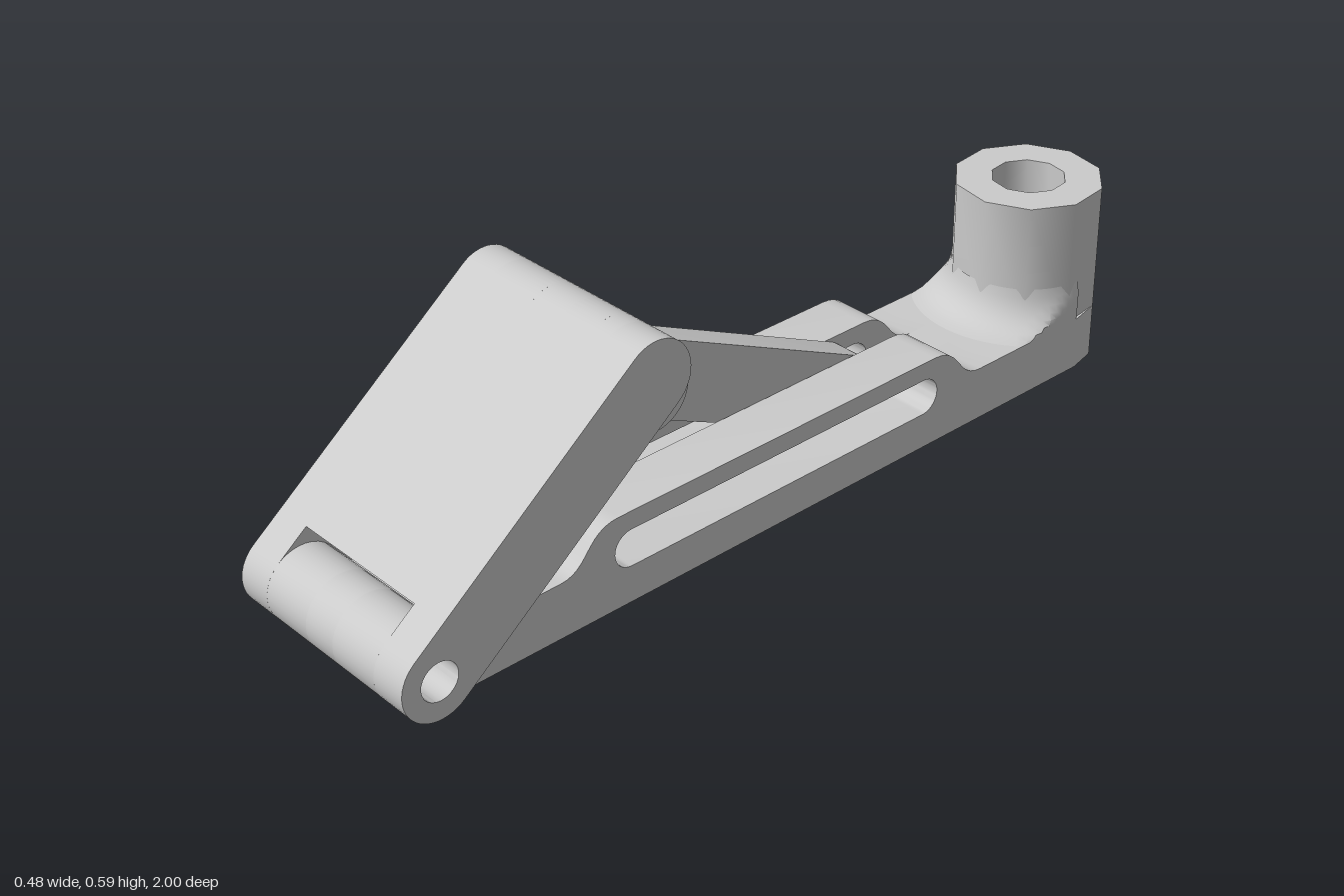
import * as THREE from 'three';
import { toCreasedNormals } from 'three/addons/utils/BufferGeometryUtils.js';

const PI = Math.PI;
const grey = new THREE.MeshStandardMaterial({ color: 0xcccccc, side: THREE.DoubleSide });

// Side outlines are drawn with u = -z, v = y, then extruded along x.
function sidePart(name, shape, x0, x1) {
  const geo = new THREE.ExtrudeGeometry(shape, { depth: x1 - x0, bevelEnabled: false, curveSegments: 12 });
  geo.rotateY(PI / 2).translate(x0, 0, 0);
  return named(name, toCreasedNormals(geo, 0.3));
}

// Plan outlines are drawn with u = x, v = -z, then extruded upwards.
function planPart(name, shape, y0, y1) {
  const geo = new THREE.ExtrudeGeometry(shape, { depth: y1 - y0, bevelEnabled: false });
  geo.rotateX(-PI / 2).translate(0, y0, 0);
  return named(name, toCreasedNormals(geo, 0.7));
}

function named(name, geo) {
  const mesh = new THREE.Mesh(geo, grey);
  mesh.name = name;
  return mesh;
}

function drill(shape, [z, y], r = 0.04) {
  shape.holes.push(new THREE.Path().absarc(-z, y, r, 0, 2 * PI, true));
  return shape;
}

// Round-ended bar from a to b; a larger clearance scoops out the end at a.
function bar([az, ay], [bz, by], r, clearance = 0) {
  const th = Math.atan2(by - ay, az - bz);
  const s = new THREE.Shape();
  s.absarc(-bz, by, r, th - PI / 2, th + PI / 2, false);
  if (clearance) {
    const k = Math.asin(r / clearance);
    s.absarc(-az, ay, clearance, th + k, th - k, true);
  } else {
    s.absarc(-az, ay, r, th + PI / 2, th + 1.5 * PI, false);
  }
  s.closePath();
  return s;
}

// Ten-sided ring points around the socket axis
function decagon(r, first = 0, count = 10) {
  return Array.from({ length: count }, (_, i) => {
    const a = ((25 + 36 * (first + i)) * PI) / 180;
    return new THREE.Vector2(r * Math.cos(a), 0.84 + r * Math.sin(a));
  });
}

const HINGE = [0.92, 0.12], TOP = [0.42, 0.51], LUG = [0.32, 0.39], SLIDER = [-0.26, 0.12];

// Rounded hinge nose at the front of the base
function nose(s) {
  s.lineTo(-0.83, 0);
  s.absarc(-HINGE[0], HINGE[1], 0.08, (249.1 * PI) / 180, 0, true);
}

function createBase() {
  const base = new THREE.Group();
  base.name = 'base';

  // Slotted side rails
  const rail = new THREE.Shape();
  rail.moveTo(0.6, 0);
  nose(rail);
  rail.lineTo(-0.59, 0.12);
  rail.bezierCurveTo(-0.52, 0.12, -0.53, 0.2, -0.45, 0.2);
  rail.lineTo(0.39, 0.2);
  rail.bezierCurveTo(0.47, 0.2, 0.46, 0.12, 0.53, 0.12);
  rail.lineTo(0.6, 0.12);
  rail.closePath();
  rail.holes.push(bar([0.42, 0.12], [-0.36, 0.12], 0.04));
  drill(rail, HINGE);
  base.add(sidePart('leftRail', rail, 0.04, 0.16), sidePart('rightRail', rail, -0.16, -0.04));

  // Webs closing the middle channel, scooped for the sliding arm
  const dip = Math.asin(0.12 / 0.15);
  const front = new THREE.Shape();
  front.moveTo(-0.51, 0);
  nose(front);
  front.absarc(-0.42, 0.12, 0.15, PI, PI + dip, false);
  front.closePath();
  base.add(sidePart('frontWeb', drill(front, HINGE), -0.04, 0.04));
  const back = new THREE.Shape();
  back.moveTo(0.6, 0);
  back.lineTo(0.6, 0.12);
  back.absarc(0.36, 0.12, 0.15, 0, -dip, true);
  back.closePath();
  base.add(sidePart('backWeb', back, -0.04, 0.04));

  // Foot and upright socket with a through bore
  const foot = new THREE.Shape([
    new THREE.Vector2(-0.16, 0.6), new THREE.Vector2(0.16, 0.6), new THREE.Vector2(0.16, 0.84),
    ...decagon(0.16, 0, 4), new THREE.Vector2(-0.16, 0.84),
  ]);
  const socket = new THREE.Shape(decagon(0.16));
  for (const s of [foot, socket]) s.holes.push(new THREE.Path(decagon(0.08)));
  base.add(planPart('foot', foot, 0, 0.12), planPart('socket', socket, 0.12, 0.4));

  // Flared fillet in front of the socket, trimmed to the width of the base
  const flare = new THREE.QuadraticBezierCurve(
    new THREE.Vector2(0.24, 0.12), new THREE.Vector2(0.165, 0.13), new THREE.Vector2(0.155, 0.21));
  const fillet = new THREE.LatheGeometry(flare.getPoints(8), 32, -1.55, 3.1);
  const p = fillet.attributes.position;
  for (let i = 0; i < p.count; i++) p.setX(i, THREE.MathUtils.clamp(p.getX(i), -0.16, 0.16));
  fillet.translate(0, 0, -0.84);
  base.add(named('socketFillet', toCreasedNormals(fillet, 0.6)));

  // Flush set screw at the back of the socket
  const screw = new THREE.CylinderGeometry(0.028, 0.028, 0.03, 12).rotateX(PI / 2);
  base.add(named('setScrew', toCreasedNormals(screw.translate(0, 0.15, -0.985), 0.7)));
  return base;
}

function createPlate() {
  const plate = new THREE.Group();
  plate.name = 'tiltingPlate';

  // Plate with hinge cheeks either side of the notch
  const cheek = drill(bar(HINGE, TOP, 0.08), HINGE);
  plate.add(
    sidePart('plateCentre', bar(HINGE, TOP, 0.08, 0.114), -0.16, 0.16),
    sidePart('leftCheek', cheek, 0.16, 0.24),
    sidePart('rightCheek', cheek, -0.24, -0.16));

  // Pair of lugs with curved gussets under the plate
  const lug = drill(bar(TOP, LUG, 0.08), LUG);
  const gusset = new THREE.Shape();
  gusset.moveTo(-0.381, 0.339);
  gusset.quadraticCurveTo(-0.432, 0.4, -0.52, 0.331);
  gusset.lineTo(-0.46, 0.46);
  gusset.closePath();
  for (const [side, x0] of [['left', 0.04], ['right', -0.12]]) {
    plate.add(sidePart(side + 'Lug', lug, x0, x0 + 0.08), sidePart(side + 'Gusset', gusset, x0, x0 + 0.08));
  }
  return plate;
}

export function createModel() {
  const model = new THREE.Group();
  model.name = 'adjustableStand';
  const arm = drill(drill(bar(LUG, SLIDER, 0.08), LUG), SLIDER);
  model.add(createBase(), createPlate(), sidePart('supportArm', arm, -0.038, 0.038));
  return model;
}
